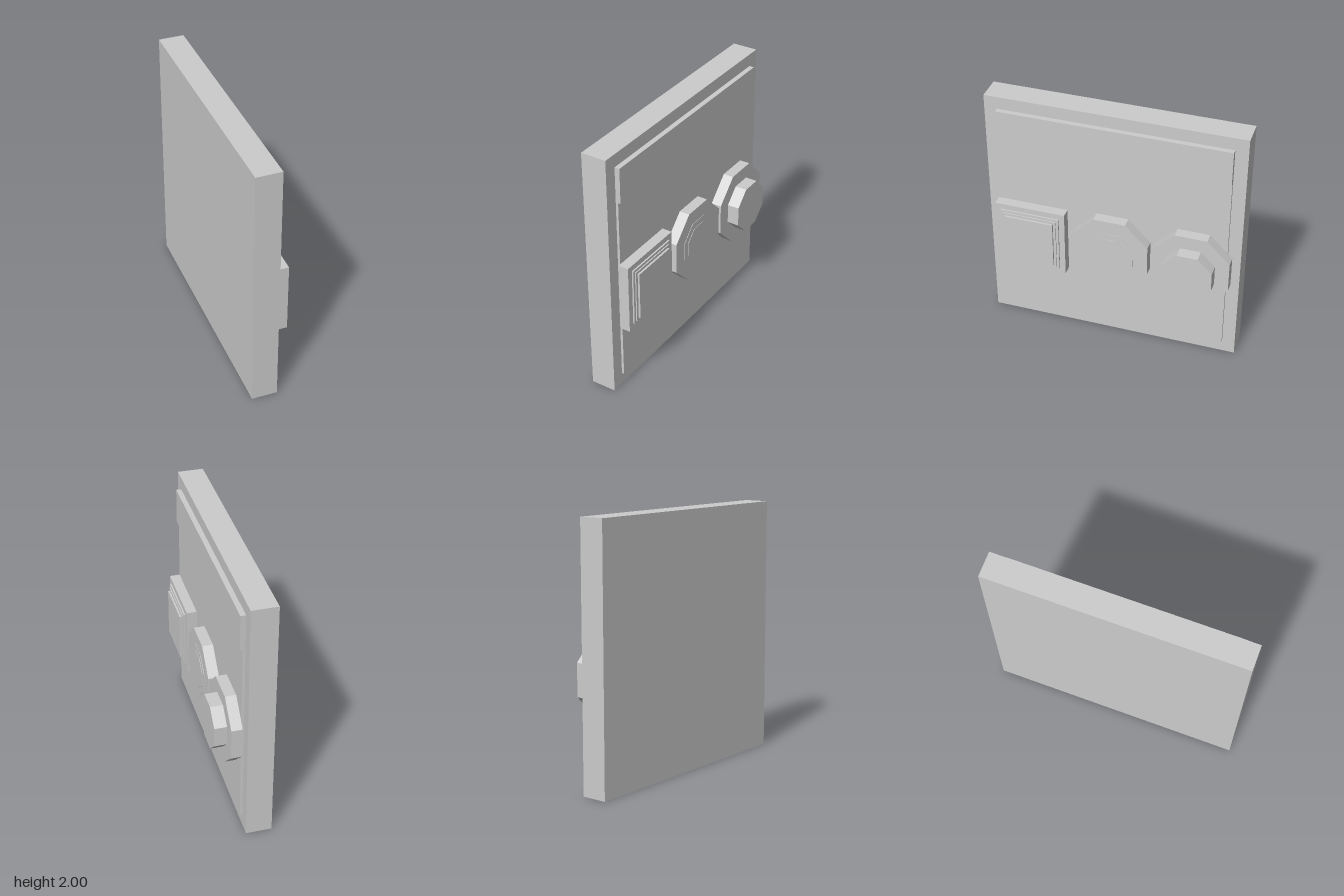
import * as THREE from 'three';

export function createModel() {
  const model = new THREE.Group();
  const grey = new THREE.MeshStandardMaterial({ color: 0xcccccc });
  grey.name = 'plain grey';

  function add(geometry, name, x, y, z) {
    const mesh = new THREE.Mesh(geometry, grey);
    mesh.name = name;
    mesh.position.set(x, y, z);
    model.add(mesh);
  }

  // Box from x0 to x1, centred at (y, z)
  function slab(name, x0, x1, y, z, height, width) {
    add(new THREE.BoxGeometry(x1 - x0, height, width), name, (x0 + x1) / 2, y, z);
  }

  // Flat-sided octagonal disc facing +x, width measured across the flats
  function octagon(name, x0, x1, y, z, width) {
    const radius = width / 2 / Math.cos(Math.PI / 8);
    const shape = new THREE.Shape();
    for (let i = 0; i < 8; i++) {
      const a = (i + 0.5) * Math.PI / 4;
      const p = [radius * Math.cos(a), radius * Math.sin(a)];
      if (i === 0) shape.moveTo(...p); else shape.lineTo(...p);
    }
    shape.closePath();
    const geometry = new THREE.ExtrudeGeometry(shape, { depth: x1 - x0, bevelEnabled: false });
    geometry.rotateY(Math.PI / 2);
    add(geometry, name, x0, y, z);
  }

  // Wall panel with raised face and header band
  slab('backPanel', -0.2, 0, 1, 0, 2, 2);
  slab('facePlate', 0, 0.02, 1, 0, 1.8, 1.8);
  slab('headerBand', 0, 0.04, 1.76, 0, 0.28, 1.8);

  // Stepped square button
  const cy = 0.828;
  const steps = [[0.02, 0.1, 0.56], [0.1, 0.113, 0.47], [0.113, 0.122, 0.43], [0.122, 0.138, 0.39]];
  steps.forEach(([x0, x1, size], i) => slab('squareButtonStep' + (i + 1), x0, x1, cy, 0.64, size, size));

  // Middle octagonal dial with shallow rings
  octagon('middleDial', 0.02, 0.104, cy, 0, 0.605);
  octagon('middleDialRing', 0.104, 0.107, cy, 0, 0.38);
  octagon('middleDialCentre', 0.107, 0.11, cy, 0, 0.28);

  // Octagonal dial with protruding knob
  octagon('knobBase', 0.02, 0.104, cy, -0.635, 0.605);
  octagon('knob', 0.104, 0.2, cy, -0.635, 0.386);

  return model;
}
